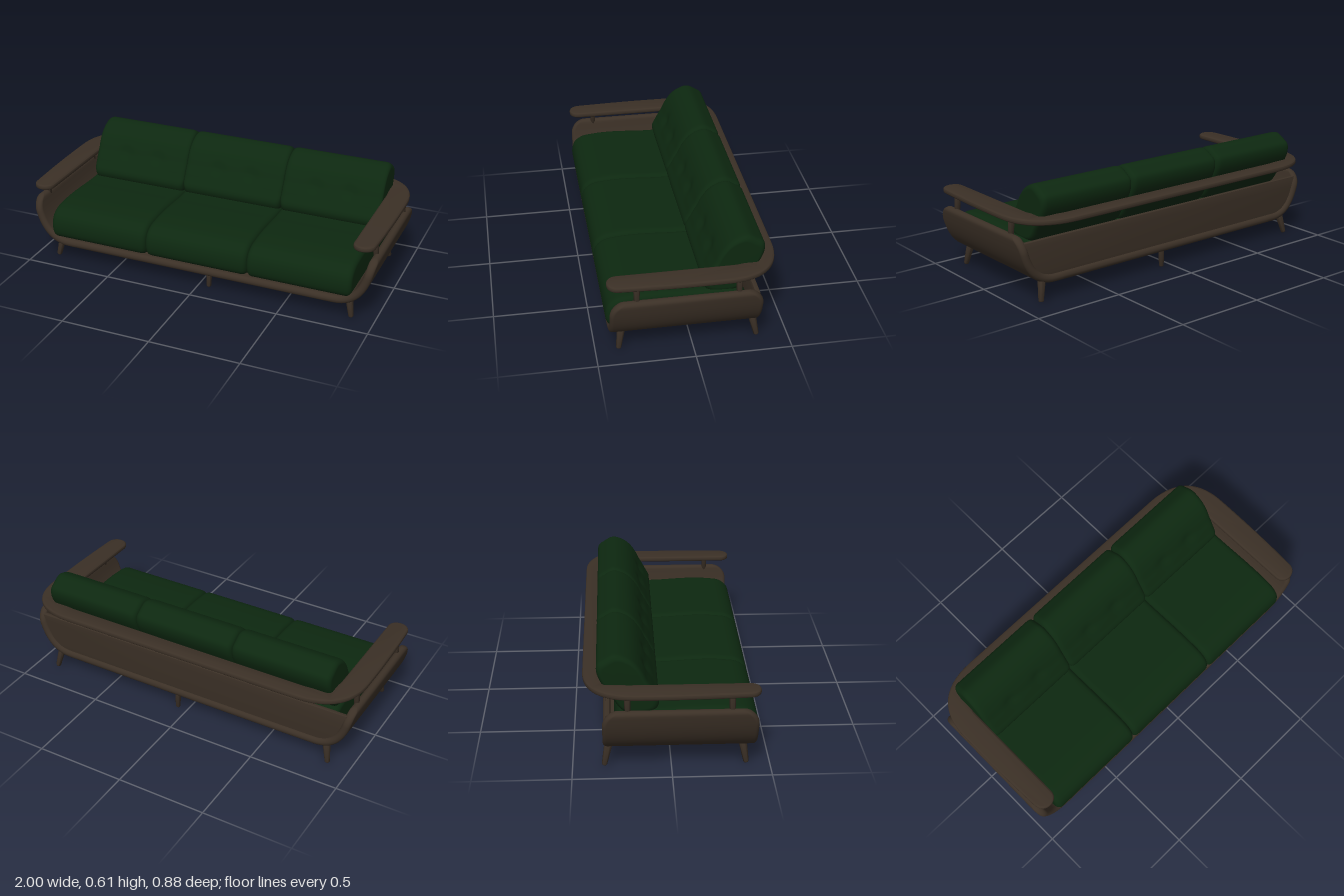
import * as THREE from 'three';
import { toCreasedNormals } from 'three/addons/utils/BufferGeometryUtils.js';

const V = (x, y, z) => new THREE.Vector3(x, y, z);

// Skin a row of closed rings and cap both ends
function loft(rings) {
  const n = rings[0].length, pos = [], idx = [];
  rings.forEach(r => r.forEach(p => pos.push(p.x, p.y, p.z)));
  for (let i = 0; i < rings.length - 1; i++)
    for (let j = 0; j < n; j++) {
      const a = i * n + j, b = i * n + (j + 1) % n;
      idx.push(a, b, a + n, b, b + n, a + n);
    }
  [0, rings.length - 1].forEach((k, end) => {
    const c = rings[k].reduce((s, p) => s.add(p), V(0, 0, 0)).divideScalar(n);
    const ci = pos.push(c.x, c.y, c.z) / 3 - 1;
    for (let j = 0; j < n; j++) {
      const a = k * n + j, b = k * n + (j + 1) % n;
      idx.push(ci, end ? a : b, end ? b : a);
    }
  });
  // Turn the faces outward if the volume comes out negative
  const at = i => V(pos[i * 3], pos[i * 3 + 1], pos[i * 3 + 2]);
  let vol = 0;
  for (let i = 0; i < idx.length; i += 3) vol += at(idx[i]).dot(at(idx[i + 1]).cross(at(idx[i + 2])));
  if (vol < 0) idx.reverse();
  const g = new THREE.BufferGeometry();
  g.setAttribute('position', new THREE.Float32BufferAttribute(pos, 3));
  g.setIndex(idx);
  g.computeVertexNormals();
  return g;
}

// Quarter-circle inset at distance d from an edge of radius r
const round = (d, r) => d >= r ? 0 : r - Math.sqrt(r * r - (r - d) ** 2);

// Curved tray: a U-shaped board running across the sofa
function shellGeometry() {
  const path = new THREE.CurvePath();
  path.add(new THREE.CubicBezierCurve3(V(-0.978, 0.362, 0), V(-0.955, 0.2, 0), V(-0.9, 0.112, 0), V(-0.78, 0.112, 0)));
  path.add(new THREE.LineCurve3(V(-0.78, 0.112, 0), V(0.78, 0.112, 0)));
  path.add(new THREE.CubicBezierCurve3(V(0.78, 0.112, 0), V(0.9, 0.112, 0), V(0.955, 0.2, 0), V(0.978, 0.362, 0)));
  const L = path.getLength(), near = [0.0005, 0.002, 0.006, 0.012, 0.02, 0.035, 0.055, 0.075];
  for (let d = 0.09; d < 0.42; d += 0.02) near.push(d);
  const stations = [...near, ...near.slice().reverse().map(d => L - d)];
  return loft(stations.map(s => {
    const p = path.getPoint(s / L), t = path.getTangent(s / L), d = Math.min(s, L - s);
    const h = 0.388 - round(d, 0.09), half = 0.0225 - round(d, 0.0215), r = half * 0.9;
    const ring = [];
    for (let q = 0; q < 4; q++)
      for (let k = 0; k <= 4; k++) {
        const a = (q + k / 4) * Math.PI / 2;
        const z = Math.cos(a) * r + (q === 0 || q === 3 ? h - r : r - h);
        const o = Math.sin(a) * r + (q < 2 ? half - r : r - half);
        ring.push(V(p.x - t.y * o, p.y + t.x * o, 0.0425 + z));
      }
    return ring;
  }));
}

// Cushion from a side profile of [z, y] points, with rounded ends
function cushionGeometry(profile, x0, x1, r, tufted) {
  const outline = new THREE.CatmullRomCurve3(profile.map(([z, y]) => V(0, y, z)), true).getPoints(72).slice(0, -1);
  const box = new THREE.Box3().setFromPoints(outline);
  const c = box.getCenter(V(0, 0, 0)), half = box.getSize(V(0, 0, 0)).multiplyScalar(0.5);
  const w = x1 - x0, near = [0, 0.03, 0.12, 0.3, 0.6, 1].map(k => k * r), xs = [...near];
  for (let i = 1; i < 24; i++) xs.push(r + (w - 2 * r) * i / 24);
  xs.push(...near.slice().reverse().map(d => w - d));
  return loft(xs.map(s => {
    const inset = round(Math.min(s, w - s), r), x = s - w / 2;
    return outline.map(p => {
      const y = c.y + (p.y - c.y) * (1 - inset / half.y);
      let z = c.z + (p.z - c.z) * (1 - inset / half.z);
      if (tufted && z > -0.24) {
        const dy = (y - 0.46) ** 2;
        z -= 0.004 * Math.exp(-dy / 0.0006);
        for (const bx of [-0.1, 0.1]) z -= 0.012 * Math.exp(-((x - bx) ** 2 + dy) / 0.0014);
      }
      return V(x0 + s, y, z);
    });
  }));
}

// Flat arm and back rail, one wide U in plan (shape y is -z)
function railGeometry() {
  const s = new THREE.Shape();
  s.moveTo(0.87, -0.385);
  s.bezierCurveTo(0.87, -0.458, 0.98, -0.458, 0.985, -0.385);
  s.bezierCurveTo(0.995, -0.2, 1.0, -0.05, 0.998, 0.16);
  s.bezierCurveTo(0.998, 0.32, 0.92, 0.443, 0.7, 0.443);
  s.lineTo(-0.7, 0.443);
  s.bezierCurveTo(-0.92, 0.443, -0.998, 0.32, -0.998, 0.16);
  s.bezierCurveTo(-1.0, -0.05, -0.995, -0.2, -0.985, -0.385);
  s.bezierCurveTo(-0.98, -0.458, -0.87, -0.458, -0.87, -0.385);
  s.lineTo(-0.87, 0.2);
  s.bezierCurveTo(-0.87, 0.3, -0.82, 0.345, -0.7, 0.345);
  s.lineTo(0.7, 0.345);
  s.bezierCurveTo(0.82, 0.345, 0.87, 0.3, 0.87, 0.2);
  s.closePath();
  const g = new THREE.ExtrudeGeometry(s, {
    depth: 0.008, bevelThickness: 0.011, bevelSize: 0.011, bevelOffset: -0.011, bevelSegments: 5, curveSegments: 16,
  });
  g.rotateX(-Math.PI / 2).translate(0, 0.436, 0);
  return toCreasedNormals(g, 0.7);
}

// Upright board closing the tray at the back
function backPanelGeometry() {
  const s = new THREE.Shape();
  s.moveTo(-0.96, 0.33);
  s.bezierCurveTo(-0.94, 0.2, -0.89, 0.118, -0.78, 0.118);
  s.lineTo(0.78, 0.118);
  s.bezierCurveTo(0.89, 0.118, 0.94, 0.2, 0.96, 0.33);
  s.closePath();
  const g = new THREE.ExtrudeGeometry(s, {
    depth: 0.015, bevelThickness: 0.005, bevelSize: 0.005, bevelOffset: -0.005, bevelSegments: 2,
  });
  return toCreasedNormals(g.translate(0, 0, -0.325), 0.7);
}

export function createModel() {
  const model = new THREE.Group();
  const wood = new THREE.MeshStandardMaterial({ color: 0x3b3026 });
  wood.name = 'dark wood';
  const fabric = new THREE.MeshStandardMaterial({ color: 0x0d2810 });
  fabric.name = 'green fabric';
  const add = (name, geometry, material) => {
    const m = new THREE.Mesh(geometry, material);
    m.name = name;
    model.add(m);
    return m;
  };
  // Round tapered rod with softened foot, from top to bottom
  const rod = (name, top, bottom, rTop, rBottom) => {
    const len = top.distanceTo(bottom);
    const pts = [[0, 0], [rBottom * 0.7, 0], [rBottom, 0.006], [rTop, len], [0, len]];
    const m = add(name, toCreasedNormals(new THREE.LatheGeometry(pts.map(p => new THREE.Vector2(...p)), 20), 0.9), wood);
    m.position.copy(bottom);
    m.quaternion.setFromUnitVectors(V(0, 1, 0), top.clone().sub(bottom).normalize());
  };

  // Frame
  add('shell', shellGeometry(), wood);
  add('backPanel', backPanelGeometry(), wood);
  add('armAndBackRail', railGeometry(), wood);

  // Posts and splayed corner legs
  for (const s of [1, -1]) {
    const side = s > 0 ? 'left' : 'right';
    rod(side + 'FrontPost', V(s * 0.958, 0.435, 0.295), V(s * 0.966, 0.33, 0.295), 0.017, 0.014);
    rod(side + 'BackPost', V(s * 0.958, 0.435, -0.22), V(s * 0.966, 0.33, -0.22), 0.017, 0.014);
    rod(side + 'FrontLeg', V(s * 0.853, 0.11, 0.363), V(s * 0.874, 0.004, 0.381), 0.021, 0.014);
    rod(side + 'BackLeg', V(s * 0.853, 0.11, -0.318), V(s * 0.874, 0.004, -0.34), 0.021, 0.014);
  }
  rod('middleFrontLeg', V(0.06, 0.11, 0.365), V(0.06, 0, 0.376), 0.017, 0.013);
  rod('middleBackLeg', V(0.06, 0.11, -0.318), V(0.06, 0, -0.32), 0.017, 0.013);

  // Cushions
  const seat = [[0.3, 0.318], [0.38, 0.305], [0.425, 0.27], [0.441, 0.215], [0.432, 0.16], [0.4, 0.136], [0.2, 0.13],
    [-0.2, 0.13], [-0.27, 0.16], [-0.285, 0.23], [-0.25, 0.295], [0, 0.312], [0.2, 0.322]];
  const back = [[-0.06, 0.345], [-0.085, 0.4], [-0.125, 0.48], [-0.175, 0.555], [-0.22, 0.59], [-0.28, 0.607], [-0.335, 0.58],
    [-0.366, 0.555], [-0.369, 0.51], [-0.34, 0.44], [-0.29, 0.365], [-0.24, 0.3], [-0.16, 0.285], [-0.08, 0.3]];
  [['right', -0.88, -0.297], ['middle', -0.297, 0.297], ['left', 0.297, 0.88]].forEach(([n, a, b]) => {
    add(n + 'SeatCushion', cushionGeometry(seat, a, b, 0.03, false), fabric);
    add(n + 'BackCushion', cushionGeometry(back, Math.max(a, -0.87), Math.min(b, 0.87), 0.03, true), fabric);
  });
  return model;
}
